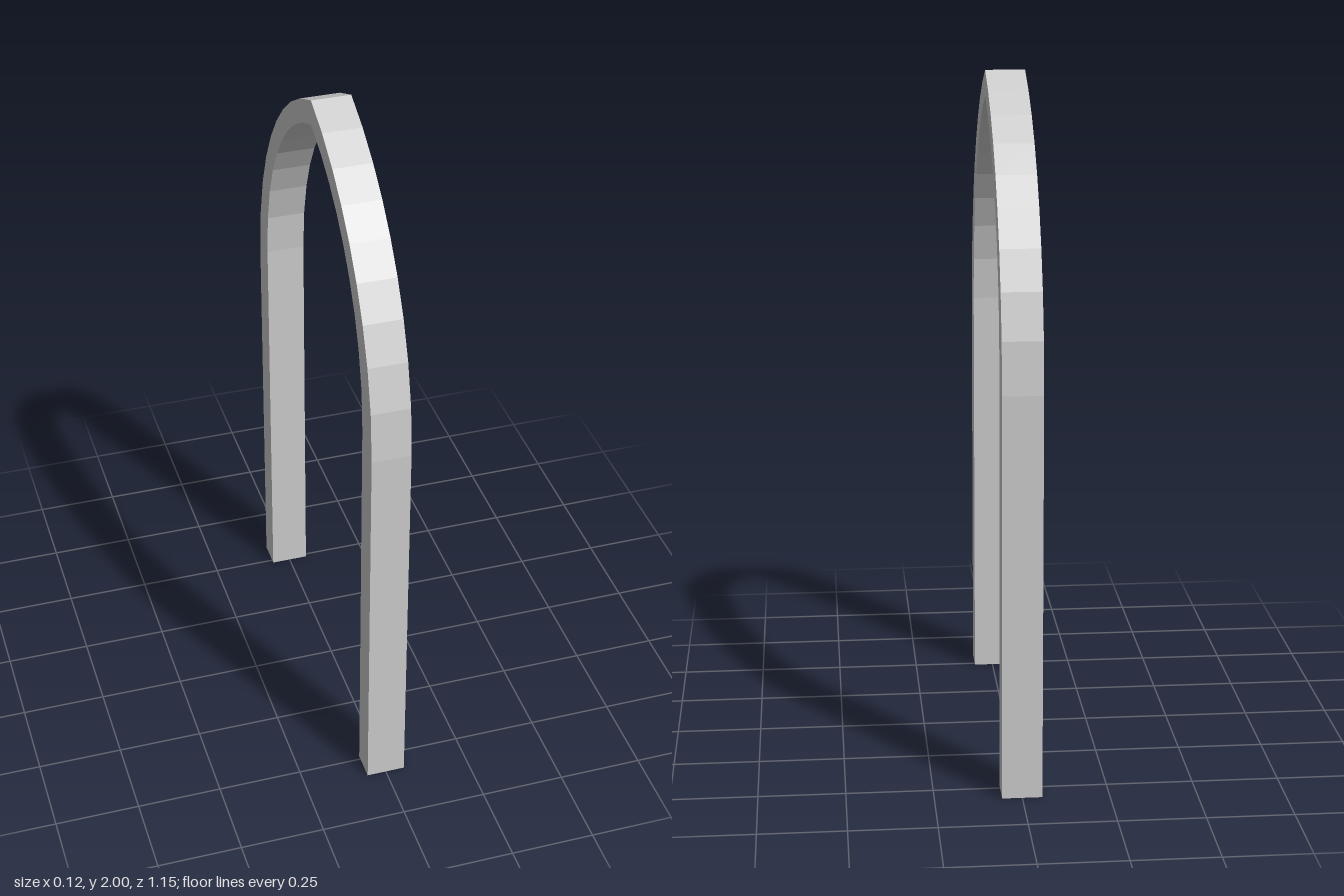
import * as THREE from 'three';

// Fractions of the sweep at which the arch is faceted, from spring line to apex
const STEPS = [0, 0.141, 0.267, 0.379, 0.485, 0.586, 0.686, 0.787, 0.892, 1];

// One side of a pointed arch: arc from (halfSpan, spring) up to (0, apex)
function archSide(halfSpan, spring, apex) {
  const rise = apex - spring;
  const radius = (halfSpan * halfSpan + rise * rise) / (2 * halfSpan);
  const centre = halfSpan - radius;
  const sweep = Math.atan2(rise, -centre);
  return STEPS.map((t) => new THREE.Vector2(
    centre + radius * Math.cos(sweep * t),
    spring + radius * Math.sin(sweep * t)));
}

// Full outline from foot to foot over the apex
function outline(halfSpan, spring, apex) {
  const side = [new THREE.Vector2(halfSpan, 0), ...archSide(halfSpan, spring, apex)];
  const mirrored = side.slice(0, -1).reverse().map((p) => new THREE.Vector2(-p.x, p.y));
  return [...side, ...mirrored];
}

export function createModel() {
  const group = new THREE.Group();
  group.name = 'pointedArch';
  const width = 0.115;

  // Legs and arch form one continuous band
  const outer = outline(0.573, 1.18, 2);
  const inner = outline(0.487, 1.23, 1.925);
  const shape = new THREE.Shape([...outer, ...inner.reverse()]);
  const geometry = new THREE.ExtrudeGeometry(shape, { depth: width, bevelEnabled: false });
  geometry.translate(0, 0, -width / 2);
  geometry.rotateY(Math.PI / 2);

  const frame = new THREE.Mesh(geometry,
    new THREE.MeshStandardMaterial({ color: 0xcccccc, flatShading: true }));
  frame.name = 'archFrame';
  group.add(frame);
  return group;
}
